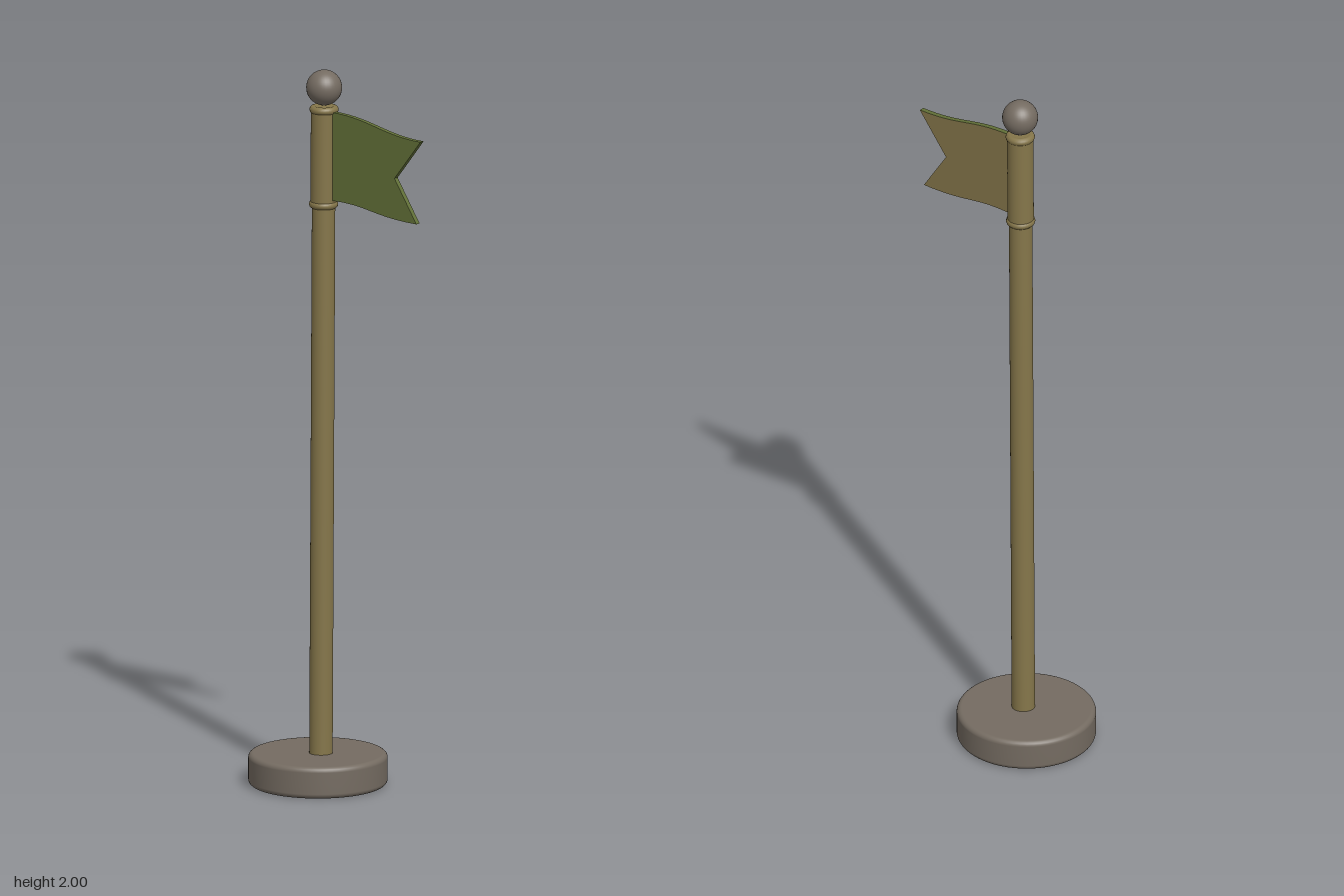
import * as THREE from 'three';

const mat = (name, color) => {
  const m = new THREE.MeshStandardMaterial({ color });
  m.name = name;
  return m;
};

export function createModel() {
  const model = new THREE.Group();
  model.name = 'flagpole';
  const stone = mat('greyStone', 0x746b61);
  const wood = mat('oliveWood', 0x85764a);
  const green = mat('greenCloth', 0x627038);

  const add = (name, geometry, material, x, y, parent = model) => {
    const mesh = new THREE.Mesh(geometry, material);
    mesh.name = name;
    mesh.position.set(x, y, 0);
    parent.add(mesh);
    return mesh;
  };

  // Round foot with softened rims
  const R = 0.19, H = 0.088, b = 0.014;
  const profile = [new THREE.Vector2(0, 0)];
  const corner = (cy, start) => {
    for (let i = 0; i <= 5; i++) {
      const a = start + (i / 5) * Math.PI / 2;
      profile.push(new THREE.Vector2(R - b + b * Math.cos(a), cy + b * Math.sin(a)));
    }
  };
  corner(b, -Math.PI / 2);
  corner(H - b, 0);
  profile.push(new THREE.Vector2(0, H));
  add('base', new THREE.LatheGeometry(profile, 64), stone, -0.088, 0);

  // Slightly leaning pole with its sleeve, bands and ball
  const mast = new THREE.Group();
  mast.name = 'mast';
  mast.position.x = -0.078;
  mast.rotation.z = -0.006;
  model.add(mast);
  add('pole', new THREE.CylinderGeometry(0.032, 0.032, 1.84, 32), wood, 0, 0.98, mast);
  add('flagSleeve', new THREE.CylinderGeometry(0.036, 0.036, 0.27, 32), wood, 0, 1.755, mast);
  for (const y of [1.625, 1.89]) {
    const band = add('band', new THREE.TorusGeometry(0.029, 0.011, 12, 32), wood, 0, y, mast);
    band.rotation.x = Math.PI / 2;
  }
  add('ballFinial', new THREE.SphereGeometry(0.049, 32, 24), stone, 0, 1.951, mast);

  // Swallow-tailed flag with wavy upper and lower edges
  const outline = new THREE.Shape();
  outline.moveTo(-0.06, 1.64);
  outline.lineTo(-0.03, 1.64);
  outline.bezierCurveTo(0.09, 1.645, 0.11, 1.617, 0.262, 1.618);
  outline.lineTo(0.185, 1.735);
  outline.lineTo(0.276, 1.85);
  outline.bezierCurveTo(0.14, 1.85, 0.1, 1.887, -0.03, 1.887);
  outline.lineTo(-0.06, 1.887);
  const cloth = new THREE.ExtrudeGeometry(outline, { depth: 0.014, bevelEnabled: false, curveSegments: 16 });
  add('flag', cloth, green, 0, 0).position.z = -0.008;

  // Plain lining on the rear of the flag
  const lining = new THREE.ShapeGeometry(outline, 16);
  lining.rotateY(Math.PI);
  lining.scale(1, 1, 1);
  const back = add('flagBack', lining, wood, 0, 0);
  // Mirror the outline back over the cloth while facing the rear
  const p = lining.attributes.position;
  for (let i = 0; i < p.count; i++) p.setX(i, -p.getX(i));
  const idx = lining.index;
  for (let i = 0; i < idx.count; i += 3) {
    const t = idx.getX(i);
    idx.setX(i, idx.getX(i + 1));
    idx.setX(i + 1, t);
  }
  back.position.z = -0.009;
  return model;
}
